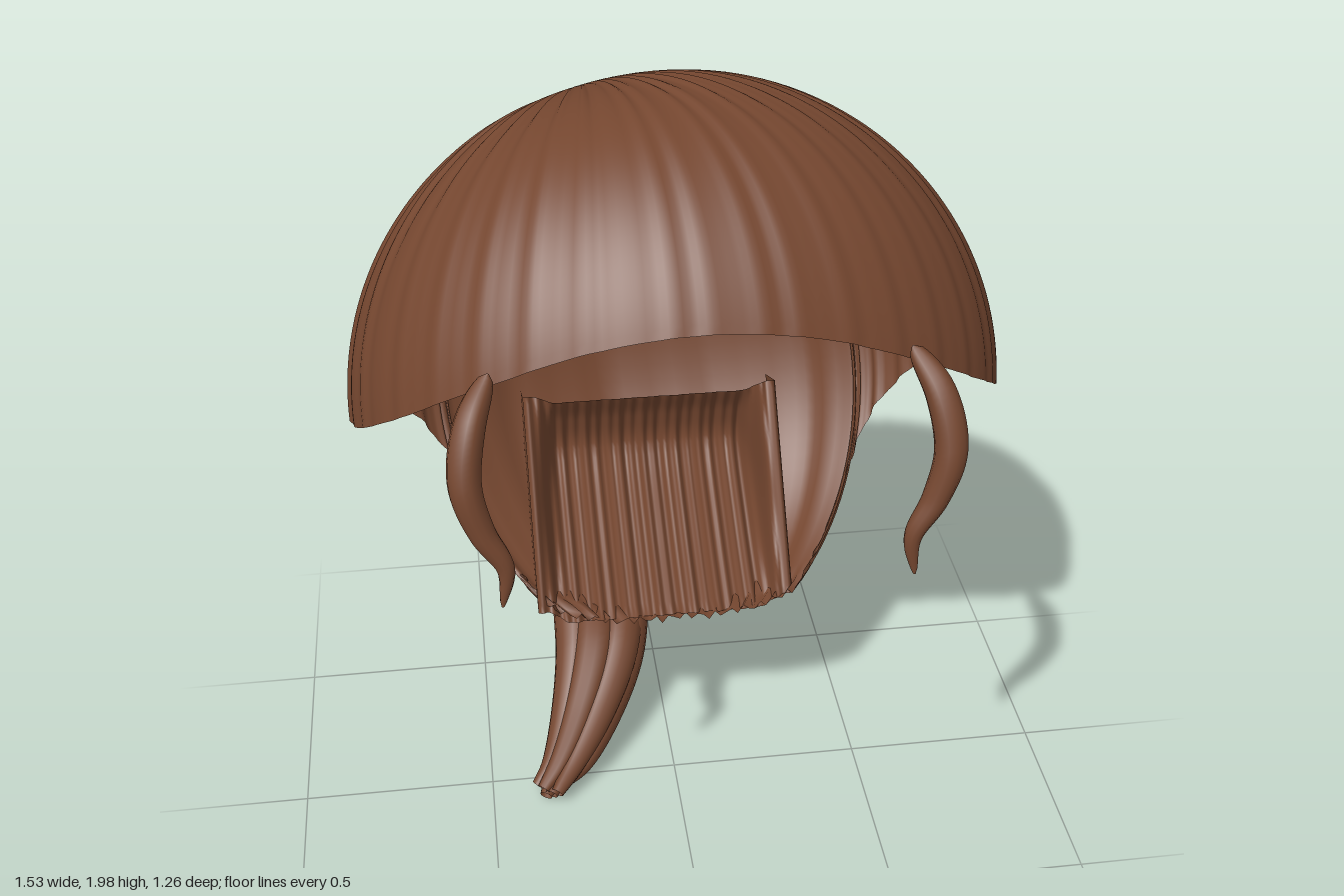
import * as THREE from 'three';

const hair = new THREE.MeshStandardMaterial({ color: 0x74462f, side: THREE.DoubleSide });
hair.name = 'brown hair';

const V = (x, y, z) => new THREE.Vector3(x, y, z);
const smooth = THREE.MathUtils.smoothstep;

// Skin a rows x cols grid of points; wrap joins the last column to the first
function gridGeometry(rows, cols, wrap, pointAt) {
  const pos = [], idx = [];
  for (let r = 0; r <= rows; r++)
    for (let c = 0; c < cols; c++) pos.push(...pointAt(r / rows, c / (wrap ? cols : cols - 1)).toArray());
  for (let r = 0; r < rows; r++)
    for (let c = 0; c < (wrap ? cols : cols - 1); c++) {
      const a = r * cols + c, b = r * cols + (c + 1) % cols;
      idx.push(a, a + cols, b, b, a + cols, b + cols);
    }
  const g = new THREE.BufferGeometry();
  g.setAttribute('position', new THREE.Float32BufferAttribute(pos, 3));
  g.setIndex(idx);
  g.computeVertexNormals();
  return g;
}

// Tube whose radius follows a rule along its length
function taperedTube(points, radiusAt, segs = 40, sides = 12) {
  const curve = new THREE.CatmullRomCurve3(points);
  const g = new THREE.TubeGeometry(curve, segs, 1, sides);
  const p = g.attributes.position, v = V(0, 0, 0);
  for (let i = 0; i <= segs; i++) {
    const centre = curve.getPointAt(i / segs), r = radiusAt(i / segs);
    for (let j = 0; j <= sides; j++) {
      const k = i * (sides + 1) + j;
      v.fromBufferAttribute(p, k).sub(centre).multiplyScalar(r).add(centre);
      p.setXYZ(k, v.x, v.y, v.z);
    }
  }
  return g;
}

// Main hair shell: great circles from the crown to a shaped rim on an ellipsoid
function capGeometry() {
  const half = [
    [0.3, 0.54, 0.79], [0.59, 0.41, 0.7], [0.86, 0.2, 0.47], [0.99, 0.03, 0.16],
    [0.985, -0.02, -0.2], [0.9, -0.17, -0.4], [0.79, -0.36, -0.49], [0.72, -0.5, -0.48],
    [0.655, -0.64, -0.4], [0.5, -0.86, -0.13], [0.41, -0.92, 0], [0.2, -0.98, 0.02],
  ];
  const rim = new THREE.CatmullRomCurve3([
    V(0, 0.58, 0.81), ...half.map(p => V(...p)), V(0, -1, 0),
    ...half.slice().reverse().map(([x, y, z]) => V(-x, y, z)),
  ], true);
  const crown = V(0, 0.9, -0.43).normalize();
  const cols = 360, rims = [];
  for (let c = 0; c < cols; c++) rims.push(rim.getPointAt(c / cols).normalize());
  return gridGeometry(44, cols, true, (t, u) => {
    const end = rims[Math.round(u * cols) % cols];
    const angle = crown.angleTo(end);
    const n = crown.clone().multiplyScalar(Math.sin((1 - t) * angle))
      .addScaledVector(end, Math.sin(t * angle)).divideScalar(Math.sin(angle));
    n.x -= 0.25 * (1 - t) ** 2; // crown swirl sits off centre
    n.normalize();
    // combed grooves, deeper at the back
    const w = u * Math.PI * 2;
    const groove = Math.sin(52 * w + 2 * Math.sin(5 * w)) + 0.5 * Math.sin(87 * w + 1.3);
    const depth = 0.0025 + 0.004 * smooth(-n.z, -0.3, 0.5);
    let s = 1 + groove * depth * smooth(t, 0.05, 0.3);
    if (t < 0.03) s -= 0.02; // crown dimple
    const y = n.y > 0 ? 0.75 : 0.7;
    const ragged = t > 0.97 && n.y < -0.85 ? 0.012 * Math.sin(140 * w) : 0;
    return V(n.x * 0.76 * s, 1.25 + n.y * y * s + ragged, n.z * 0.63 * s);
  });
}

// Inner nape hair: straight edges at the sides, hollow in the middle
function napeGeometry() {
  const hollow = new THREE.CatmullRomCurve3([
    V(0, 0.56, 0), V(0, 0.68, -0.22), V(0, 0.82, -0.41), V(0, 0.92, -0.4), V(0, 1.01, -0.35)]);
  const a = V(0, 0.6, 0), b = V(0, 1.04, -0.34);
  return gridGeometry(28, 120, false, (t, u) => {
    const edge = Math.min(u, 1 - u);
    const deep = smooth(edge, 0.03, 0.13);
    const strands = Math.sin(u * 95) * Math.sin(u * 41 + 1);
    const p = a.clone().lerp(b, t).lerp(hollow.getPoint(t), deep);
    p.x = -0.35 + 0.66 * u;
    p.z += strands * 0.014;
    p.y += strands * 0.008;
    return p;
  });
}

// Side walls that close the nape hair against the shell
function napeSide(x) {
  const s = new THREE.Shape([
    new THREE.Vector2(0, 0.6), new THREE.Vector2(-0.34, 1.04),
    new THREE.Vector2(-0.47, 0.98), new THREE.Vector2(-0.42, 0.84), new THREE.Vector2(-0.2, 0.66)]);
  return new THREE.ShapeGeometry(s).rotateY(-Math.PI / 2).translate(x, 0, 0);
}

export function createModel() {
  const model = new THREE.Group();
  model.name = 'hairstyle';
  const add = (name, geometry, parent = model) => {
    const m = new THREE.Mesh(geometry, hair);
    m.name = name;
    parent.add(m);
  };

  add('hairCap', capGeometry());
  add('napeHair', napeGeometry());
  add('napeSideRight', napeSide(-0.35));
  add('napeSideLeft', napeSide(0.31));

  // Curled locks framing the face
  for (const [name, s] of [['leftLock', 1], ['rightLock', -1]]) {
    add(name, taperedTube([
      V(0.44 * s, 1.6, 0.46), V(0.485 * s, 1.53, 0.54), V(0.503 * s, 1.42, 0.59),
      V(0.475 * s, 1.31, 0.605), V(0.432 * s, 1.22, 0.612), V(0.443 * s, 1.12, 0.612),
    ], u => 0.003 + 0.033 * Math.pow(Math.sin(Math.PI * Math.pow(u, 0.65)), 0.7)));
  }

  // Ponytail: a bundle of tapered strands around one curved spine
  const tail = new THREE.Group();
  tail.name = 'ponytail';
  model.add(tail);
  const spine = [
    [-0.17, 0.6, -0.2], [-0.165, 0.6, -0.31], [-0.165, 0.49, -0.39], [-0.165, 0.385, -0.345],
    [-0.18, 0.27, -0.22], [-0.235, 0.165, -0.08], [-0.3, 0.09, 0.03], [-0.345, 0.055, 0.1]];
  const spread = [0.15, 0.5, 0.95, 1, 0.9, 0.7, 0.55, 0.45];
  for (let i = 0; i < 7; i++) {
    const ang = i / 6 * Math.PI * 2 + 0.3, out = i === 6 ? 0 : 1;
    const short = (i % 3) * 0.02;
    const pts = spine.map(([x, y, z], k) => {
      const tw = ang + k * 0.12, r = spread[k] * out;
      const side = Math.cos(tw) * 0.078 * r, lift = Math.sin(tw) * 0.05 * r;
      // lift runs across the spine: backwards over the bend, upwards along the tail
      const bend = k < 2 ? [0.9, 0.4] : k < 4 ? [0.3, -0.95] : [0.75, 0.6];
      return V(x + side, y + lift * bend[0], z + lift * bend[1] - (k === 7 ? short : 0));
    });
    add('ponytailStrand', taperedTube(pts,
      u => 0.008 + 0.052 * Math.pow(Math.sin(Math.PI * Math.pow(u, 0.8) * 0.97), 0.75), 48, 12), tail);
  }
  // Small band tying the tail to the nape
  const tie = new THREE.TorusGeometry(0.03, 0.012, 10, 24).translate(-0.17, 0.6, -0.22);
  add('hairTie', tie);
  return model;
}
